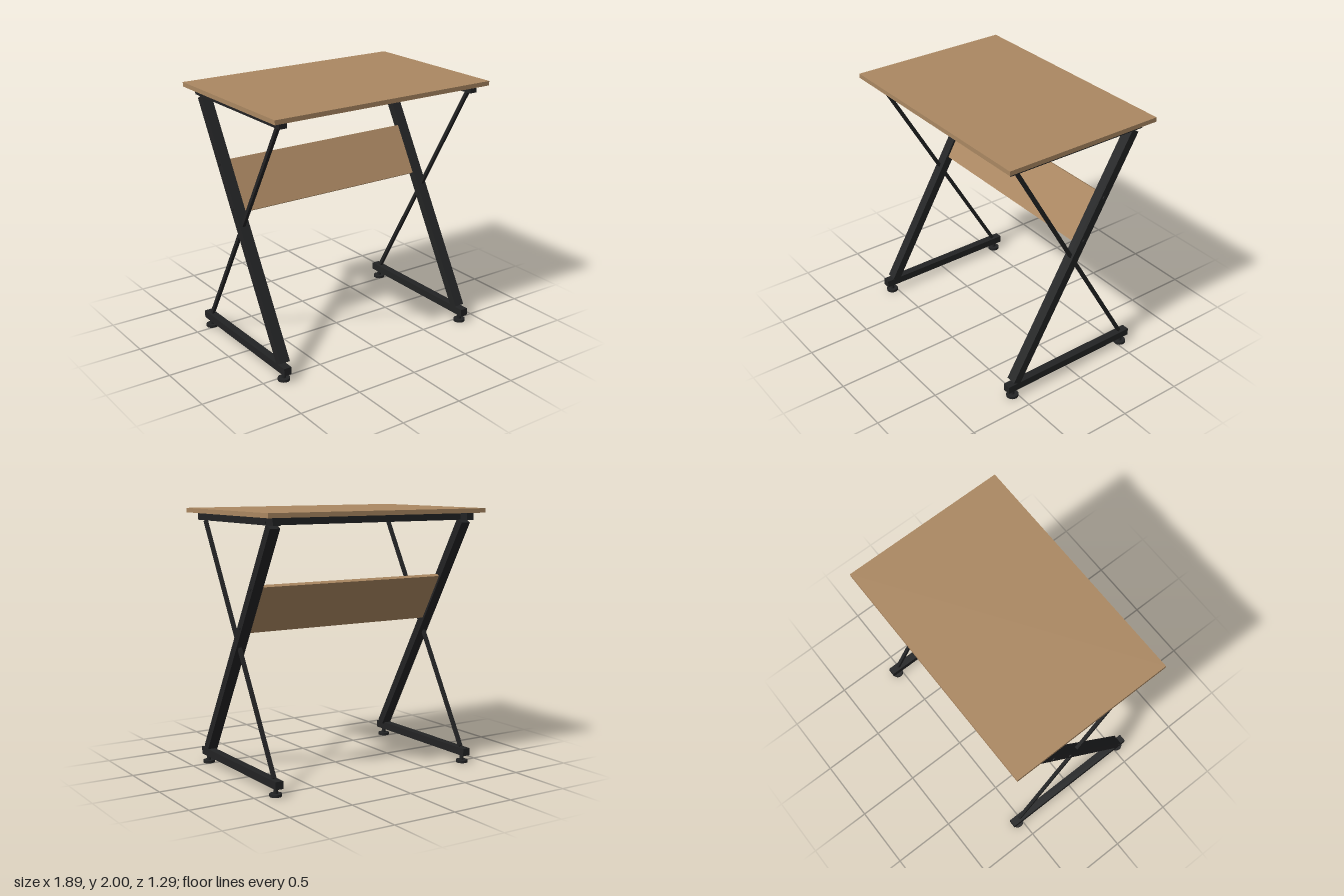
import * as THREE from 'three';

export function createModel() {
  const wood = new THREE.MeshStandardMaterial({ color: 0xab8862 });
  wood.name = 'wood';
  const metal = new THREE.MeshStandardMaterial({ color: 0x222324 });
  metal.name = 'blackMetal';

  const desk = new THREE.Group();
  desk.name = 'desk';

  const add = (parent, name, geometry, material, x, y, z, tilt = 0) => {
    const mesh = new THREE.Mesh(geometry, material);
    mesh.name = name;
    mesh.position.set(x, y, z);
    mesh.rotation.x = tilt;
    parent.add(mesh);
    return mesh;
  };
  const box = (w, h, d) => new THREE.BoxGeometry(w, h, d);
  const disc = (r, h) => new THREE.CylinderGeometry(r, r, h, 20);

  // Slope shared by legs, braces and panel
  const rise = 1.78, run = 1.035, midY = 1.015;
  const tilt = -Math.atan2(run, rise);
  const legLength = Math.hypot(rise, run);
  const legZ = (y) => -(y - midY) * run / rise;

  // Top and the slanted back panel between the legs
  add(desk, 'tabletop', box(1.89, 0.034, 1.29), wood, 0, 1.983, 0);
  add(desk, 'panel', box(1.59, 0.41, 0.03), wood, 0, 1.29, legZ(1.29), tilt);

  // Cross bar under the back of the top
  add(desk, 'crossBar', box(1.64, 0.056, 0.056), metal, 0, 1.938, -0.48);

  // Side frames
  for (const s of [1, -1]) {
    const side = new THREE.Group();
    side.name = s > 0 ? 'leftFrame' : 'rightFrame';
    desk.add(side);
    const x = s * 0.845;

    add(side, 'topRail', box(0.062, 0.056, 1.17), metal, x, 1.938, 0);
    add(side, 'footRail', box(0.062, 0.058, 1.186), metal, x, 0.091, 0);
    add(side, 'leg', box(0.081, legLength, 0.064), metal, s * 0.836, midY, 0, tilt);
    add(side, 'brace', box(0.026, legLength, 0.026), metal, x, midY, 0, -tilt);

    // Levelling feet
    for (const z of [0.537, -0.537]) {
      add(side, 'footStem', disc(0.016, 0.05), metal, x, 0.04, z);
      add(side, 'footPad', disc(0.046, 0.02), metal, x, 0.01, z);
    }

    // Bolt heads on the outer face
    for (const [y, z] of [[1.937, -0.48], [1.45, legZ(1.45)], [1.15, legZ(1.15)]]) {
      add(side, 'bolt', disc(0.014, 0.016), metal, s * 0.875, y, z).rotation.z = Math.PI / 2;
    }
  }
  return desk;
}
